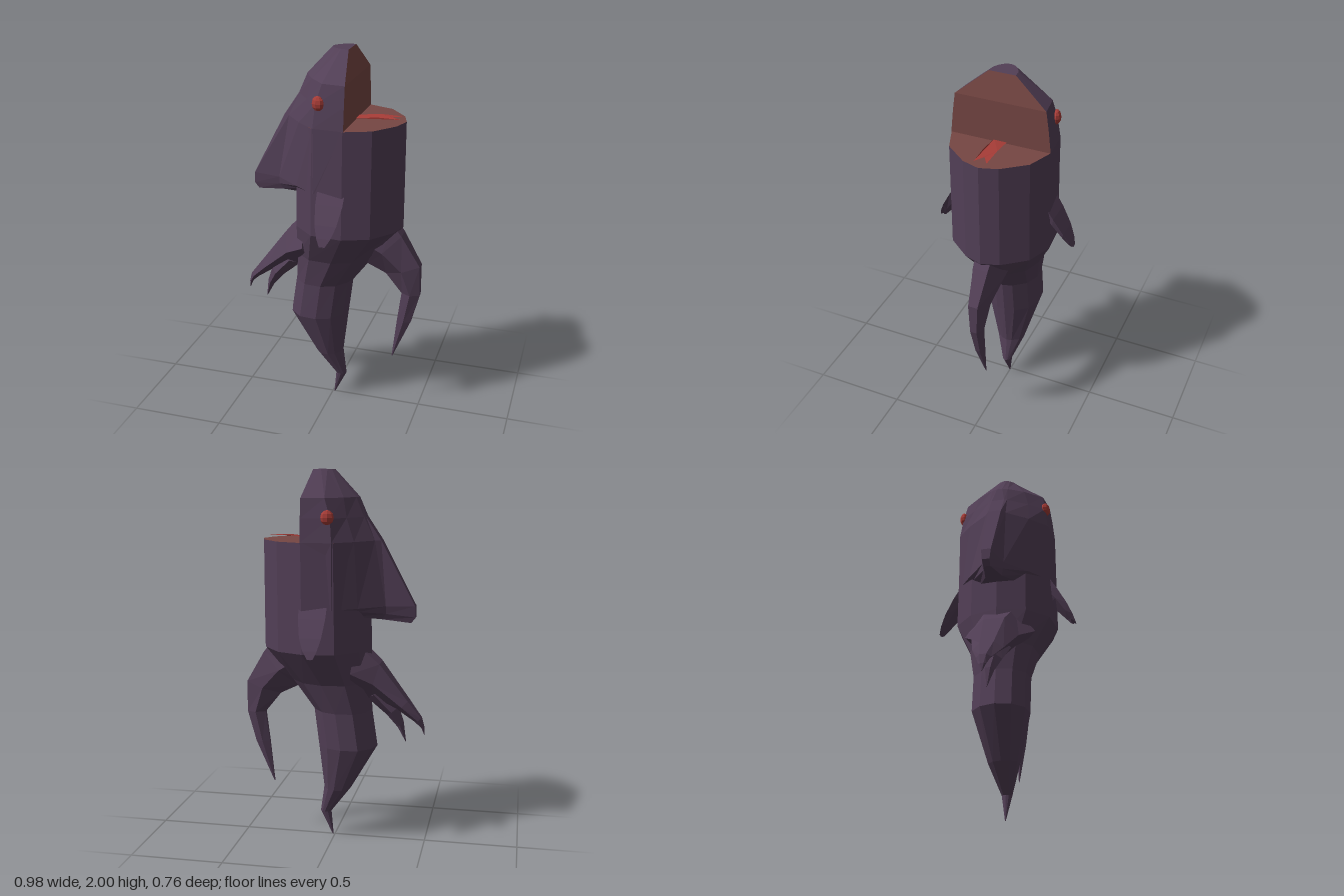
import * as THREE from 'three';

const V = (x, y, z) => new THREE.Vector3(x, y, z);

// Flat-faced skin over a list of rings, each with the same number of points
function loft(rings, { closed = true, capStart = true, capEnd = true } = {}) {
  const tris = [];
  const n = rings[0].length;
  for (let r = 0; r < rings.length - 1; r++) {
    for (let i = 0; i < (closed ? n : n - 1); i++) {
      const j = (i + 1) % n;
      const [a, b, c, d] = [rings[r][i], rings[r][j], rings[r + 1][j], rings[r + 1][i]];
      tris.push([a, b, c], [a, c, d]);
    }
  }
  const middle = (pts) => pts.reduce((s, p) => s.add(p), V(0, 0, 0)).divideScalar(pts.length);
  const cap = (ring, flip) => {
    const m = middle(ring);
    ring.forEach((p, i) => {
      const q = ring[(i + 1) % n];
      tris.push(flip ? [m, q, p] : [m, p, q]);
    });
  };
  if (capStart) cap(rings[0], true);
  if (capEnd) cap(rings[rings.length - 1], false);
  // turn the faces outward
  const centre = middle(rings.flat());
  let volume = 0;
  for (const t of tris) {
    const [a, b, c] = t.map((p) => p.clone().sub(centre));
    volume += a.dot(b.cross(c));
  }
  const points = tris.flatMap(([a, b, c]) => (volume < 0 ? [a, c, b] : [a, b, c]));
  const geo = new THREE.BufferGeometry().setFromPoints(points);
  geo.computeVertexNormals();
  return geo;
}

// Horizontal twelve-sided body ring
const HALF = [[1, 0], [0.9, 0.35], [0.57, 0.8], [0.1, 1], [-0.47, 0.94], [-0.85, 0.55], [-1, 0]];
const UNIT = [...HALF, ...HALF.slice(1, -1).reverse().map(([x, z]) => [x, -z])];
const bodyRing = ([y, x0, x1, rz]) =>
  UNIT.map(([u, w]) => V((x0 + x1) / 2 + (u * (x1 - x0)) / 2, y, w * rz));

// Limb in the x-y plane; section = [upper x, upper y, lower x, lower y, half width]
const limb = (sections) =>
  loft(sections.map(([ax, ay, bx, by, w]) => {
    const mx = (ax + bx) / 2, my = (ay + by) / 2;
    return [V(ax, ay, w * 0.45), V(mx, my, w), V(bx, by, w * 0.3),
      V(bx, by, -w * 0.3), V(mx, my, -w), V(ax, ay, -w * 0.45)];
  }));

export function createModel() {
  const group = new THREE.Group();
  const skin = new THREE.MeshStandardMaterial({ color: 0x523f56, flatShading: true });
  skin.name = 'purple skin';
  const mouth = new THREE.MeshStandardMaterial({ color: 0x764643, flatShading: true, side: THREE.DoubleSide });
  mouth.name = 'brown mouth';
  const red = new THREE.MeshStandardMaterial({ color: 0xa63c37, flatShading: true, side: THREE.DoubleSide });
  red.name = 'red';
  const add = (name, geo, material) => {
    const mesh = new THREE.Mesh(geo, material);
    mesh.name = name;
    group.add(mesh);
    return mesh;
  };

  // Body tapering to a pointed tail: [y, min x, max x, half depth]
  const rings = [
    [1.64, -0.19, 0.385, 0.265], [1.07, -0.2, 0.385, 0.27], [0.89, -0.2, 0.235, 0.18],
    [0.73, -0.205, 0.115, 0.147], [0.53, -0.235, 0.09, 0.147], [0.28, -0.09, 0.06, 0.08],
    [0.135, 0.02, 0.08, 0.026], [0, 0.008, 0.014, 0.002],
  ].map(bodyRing);
  add('body', loft(rings, { capStart: false }), skin);

  // Floor of the open mouth
  const floor = new THREE.Shape(UNIT.map(([u, w]) => new THREE.Vector2(0.0975 + u * 0.2875, w * 0.265)));
  const floorGeo = new THREE.ShapeGeometry(floor);
  floorGeo.rotateX(-Math.PI / 2).translate(0, 1.64, 0);
  add('mouthFloor', floorGeo, mouth);

  // Head with long drooping nose: half outlines from mouth edge to nose ridge
  const headHalves = [
    [2.0, [[0.1, 0.07], [0.06, 0.066], [0.03, 0.05], [0.01, 0.03], [0, 0.01]]],
    [1.86, [[0.13, 0.238], [0.01, 0.222], [-0.07, 0.13], [-0.12, 0.045], [-0.13, 0.015]]],
    [1.76, [[0.13, 0.252], [-0.02, 0.238], [-0.09, 0.155], [-0.163, 0.05], [-0.17, 0.035]]],
    [1.64, [[0.13, 0.265], [-0.03, 0.254], [-0.13, 0.165], [-0.22, 0.055], [-0.25, 0.036]]],
    [1.3, [[0.13, 0.25], [-0.03, 0.254], [-0.15, 0.165], [-0.28, 0.058], [-0.43, 0.026]]],
    [1.25, [[0.1, 0.2], [-0.02, 0.235], [-0.15, 0.14], [-0.28, 0.052], [-0.433, 0.02]]],
    [1.22, [[0.1, 0.15], [0, 0.2], [-0.13, 0.11], [-0.26, 0.045], [-0.41, 0.018]]],
  ];
  const headRings = headHalves.map(([y, half], r) => {
    const side = half.map(([x, z], i) => V(x, y + (r > 4 ? [0.03, 0.03, 0.03, 0.01, -0.01][i] : 0), z));
    return [...side, ...side.slice().reverse().map((p) => V(p.x, p.y, -p.z))];
  });
  add('head', loft(headRings, { closed: false }), skin);

  // Flat back wall of the mouth
  const wall = headRings.slice(0, 4).map((r) => [r[0], r[r.length - 1]]);
  add('mouthWall', loft(wall, { closed: false, capStart: false, capEnd: false }), mouth);

  // Forked tongue, arched slightly off the mouth floor
  const tongue = new THREE.Shape([[0.12, -0.035], [0.24, -0.035], [0.36, -0.033], [0.31, 0],
    [0.36, 0.033], [0.24, 0.035], [0.12, 0.035]].map(([x, z]) => new THREE.Vector2(x, z)));
  const tongueGeo = new THREE.ShapeGeometry(tongue).rotateX(-Math.PI / 2);
  const tp = tongueGeo.attributes.position;
  for (let i = 0; i < tp.count; i++) {
    const x = tp.getX(i);
    tp.setY(i, x < 0.2 ? 1.646 : x < 0.3 ? 1.66 : 1.657);
  }
  tongueGeo.computeVertexNormals();
  add('tongue', tongueGeo, red);

  // Paired eyes and side fins
  for (const s of [1, -1]) {
    const label = s > 0 ? 'front' : 'back';
    const eye = add(label + 'Eye', new THREE.SphereGeometry(1, 8, 6), red);
    eye.scale.set(0.034, 0.038, 0.024);
    eye.position.set(-0.006, 1.765, s * 0.238);
    eye.rotation.y = -s * 0.25;

    // [z, outer y, inner y, min x, max x]
    const fin = [
      [0.24, 1.34, 1.2, -0.008, 0.138], [0.29, 1.26, 1.155, -0.006, 0.135],
      [0.34, 1.17, 1.098, 0.005, 0.118], [0.367, 1.11, 1.068, 0.022, 0.095],
      [0.38, 1.07, 1.06, 0.04, 0.07],
    ].map(([z, yo, yi, x0, x1]) => {
      const mid = (x0 + x1) / 2, zi = z - 0.012;
      return [V(x0, yo, s * z), V(x1, yo, s * z), V(x1 - 0.02, (yo + yi) / 2, s * zi),
        V(mid, yi, s * zi), V(x0 + 0.02, (yo + yi) / 2, s * zi)];
    });
    add(label + 'Fin', loft(fin), skin);
  }

  // Arm under the nose, ending in a long claw
  add('clawArm', limb([
    [-0.13, 1.1, -0.1, 0.82, 0.19], [-0.25, 0.99, -0.2, 0.8, 0.125], [-0.4, 0.79, -0.345, 0.74, 0.08],
    [-0.472, 0.695, -0.435, 0.675, 0.038], [-0.488, 0.64, -0.472, 0.64, 0.02], [-0.49, 0.6, -0.488, 0.6, 0.003],
  ]), skin);
  add('innerClaw', limb([
    [-0.27, 0.86, -0.18, 0.8, 0.085], [-0.345, 0.75, -0.285, 0.71, 0.06],
    [-0.375, 0.665, -0.345, 0.64, 0.03], [-0.39, 0.56, -0.387, 0.56, 0.003],
  ]), skin);

  // Curved hooked limb below the mouth
  add('hookLimb', limb([
    [0.34, 1.09, 0.13, 0.86, 0.1], [0.385, 1.03, 0.2, 0.85, 0.09], [0.485, 0.86, 0.3, 0.8, 0.058],
    [0.487, 0.69, 0.388, 0.69, 0.04], [0.442, 0.52, 0.366, 0.52, 0.027], [0.345, 0.29, 0.34, 0.29, 0.002],
  ]), skin);

  return group;
}
